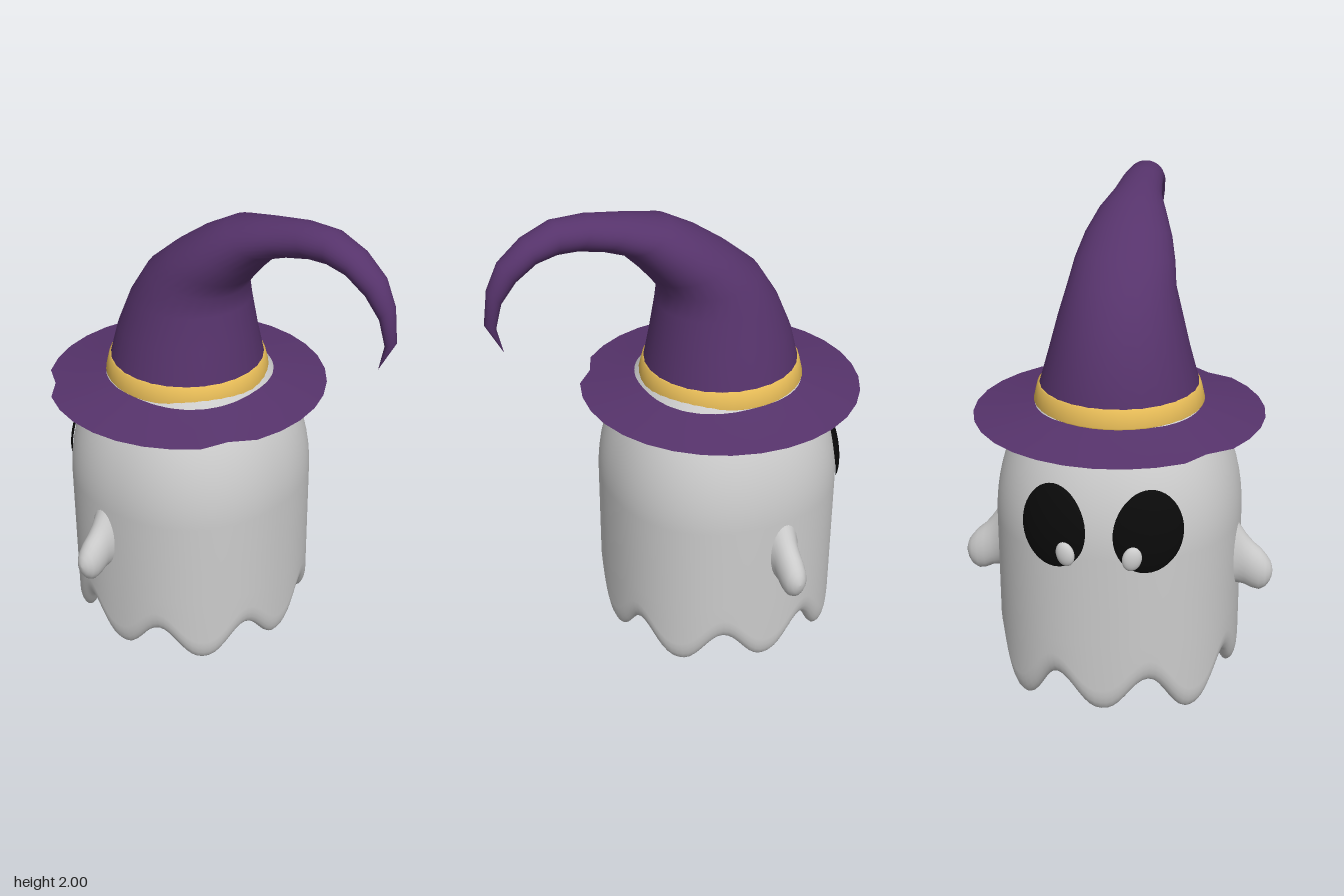
import * as THREE from 'three';

const CZ = -0.2; // z of the body axis
const V = (x, y, z) => new THREE.Vector3(x, y, z);
const mat = (color, side = THREE.FrontSide) => new THREE.MeshStandardMaterial({ color, side });

// Skin a list of sections; ring(section, angle) gives each point
function loft(sections, segs, ring) {
  const pos = [], idx = [];
  sections.forEach((s, i) => {
    for (let j = 0; j < segs; j++) {
      pos.push(...ring(s, (j / segs) * Math.PI * 2).toArray());
      if (i === sections.length - 1) continue;
      const a = i * segs + j, b = i * segs + (j + 1) % segs;
      idx.push(a, b, b + segs, a, b + segs, a + segs);
    }
  });
  const g = new THREE.BufferGeometry();
  g.setAttribute('position', new THREE.Float32BufferAttribute(pos, 3));
  g.setIndex(idx);
  g.computeVertexNormals();
  return g;
}

// Slightly squared circle
function around(a, r, y) {
  const c = Math.cos(a), s = Math.sin(a), p = 2.2;
  const k = r * (Math.abs(c) ** p + Math.abs(s) ** p) ** (-1 / p);
  return V(k * c, y, CZ - k * s);
}
const DOME_Y = 0.72, DOME_H = 0.65, R = 0.5;
const bodyRadius = y => (y < DOME_Y ? R : R * Math.sqrt(Math.max(0, 1 - ((y - DOME_Y) / DOME_H) ** 2)));

// Scalloped hem height: eight lobes, the two facing diagonals a little lower
function hem(a) {
  const wave = ((1 - Math.cos(8 * a)) / 2) ** 1.2;
  const low = [45, 135].some(d => Math.abs(a * 180 / Math.PI - d) < 22.5) ? 0.03 : 0;
  return 0.03 + 0.14 * wave - low * (1 - wave);
}

function bodyGeometry() {
  const rows = [], N = 14;
  // inside: dome and wall down to the lip
  for (let i = 0; i <= N; i++) {
    const t = (1 - i / N) * Math.PI / 2;
    rows.push({ r: 0.42 * Math.cos(t) + 1e-4, y: DOME_Y + 0.57 * Math.sin(t) });
  }
  rows.push({ r: 0.42, y: 0.5 }, { r: 0.42, y: 0.34 });
  // rounded lip following the hem
  for (let i = 0; i <= 10; i++) {
    const t = Math.PI * (1 + i / 10);
    rows.push({ r: 0.46 + 0.04 * Math.cos(t), lift: 0.1 + 0.1 * Math.sin(t) });
  }
  // outside wall and dome
  rows.push({ r: R, y: 0.34 }, { r: R, y: 0.5 });
  for (let i = 0; i <= 20; i++) {
    const t = (i / 20) * Math.PI / 2;
    rows.push({ r: R * Math.cos(t) + 1e-4, y: DOME_Y + DOME_H * Math.sin(t) });
  }
  return loft(rows, 128, (s, a) => around(a, s.r, s.y ?? hem(a) + s.lift));
}

// Stubby arm: [x, lowest y, highest y, half depth]
function armGeometry() {
  const rows = [[0.45, 0.42, 0.76, 0.09], [0.48, 0.43, 0.73, 0.075], [0.5, 0.435, 0.7, 0.062],
    [0.53, 0.43, 0.655, 0.056], [0.56, 0.416, 0.62, 0.056], [0.59, 0.41, 0.595, 0.053],
    [0.615, 0.425, 0.565, 0.045], [0.632, 0.45, 0.54, 0.03], [0.64, 0.475, 0.515, 0.014], [0.642, 0.495, 0.495, 0]];
  return loft(rows, 24, ([x, lo, hi, d], a) =>
    V(x, (lo + hi) / 2 + Math.cos(a) * (hi - lo) / 2, Math.sin(a) * d));
}

// Eye: oval patch wrapped on the body, bulging slightly
function eyeGeometry(side) {
  const tilt = 0.22, rows = [];
  for (let i = 0; i <= 10; i++) rows.push(Math.cos(i / 10 * Math.PI / 2));
  return loft(rows, 40, (s, a) => {
    const eu = 0.138 * s * Math.cos(a), ev = 0.165 * s * Math.sin(-side * a);
    const u = eu * Math.cos(tilt) + ev * Math.sin(tilt);
    const y = 0.835 + ev * Math.cos(tilt) - eu * Math.sin(tilt);
    const ang = Math.PI / 2 - side * (0.385 + u / R);
    return around(ang, bodyRadius(y) + 0.003 + 0.02 * Math.sqrt(Math.max(0, 1 - s * s)), y);
  });
}

// Curled hat cone: [front z, front y, back z, back y, half width]
function hatGeometry() {
  const rows = [[0.12, 1.2, -0.54, 1.2, 0.33], [0.11, 1.27, -0.53, 1.27, 0.32],
    [0.085, 1.42, -0.5, 1.4, 0.28], [0.065, 1.55, -0.44, 1.54, 0.245],
    [0.057, 1.62, -0.35, 1.68, 0.215], [0.1, 1.68, -0.23, 1.78, 0.2],
    [0.15, 1.74, -0.1, 1.87, 0.175], [0.23, 1.82, 0.03, 1.94, 0.135],
    [0.32, 1.85, 0.2, 1.975, 0.1], [0.42, 1.87, 0.36, 2.0, 0.085],
    [0.5, 1.87, 0.5, 2.0, 0.076], [0.58, 1.85, 0.62, 1.95, 0.068],
    [0.66, 1.79, 0.72, 1.87, 0.055], [0.72, 1.71, 0.77, 1.77, 0.038],
    [0.745, 1.61, 0.79, 1.63, 0.022], [0.72, 1.5, 0.72, 1.5, 0]];
  return loft(rows, 28, ([fz, fy, bz, by, w], a) => {
    const s = Math.sin(a);
    return V(w * Math.cos(a), (fy + by) / 2 + s * (by - fy) / 2, (fz + bz) / 2 + s * (bz - fz) / 2);
  });
}

// Brim: shallow cone with two small nicks in its edge
function brimGeometry() {
  const rows = [[0.585, 1.15], [0.46, 1.172], [0.335, 1.2]];
  return loft(rows, 32, ([r, y], a) => {
    const deg = a * 180 / Math.PI;
    const nick = r > 0.5 && [135, 240].some(d => Math.abs(deg - d) < 6) ? 0.03 : 0;
    return V((r - nick) * Math.cos(a), y, -0.21 - (r - nick) * Math.sin(a));
  });
}

export function createModel() {
  const model = new THREE.Group();
  const add = (name, geo, material, parent = model) => {
    const m = new THREE.Mesh(geo, material);
    m.name = name;
    parent.add(m);
    return m;
  };
  const grey = mat(0xcccccc), black = mat(0x0a0a0a);
  const purple = mat(0x56336b, THREE.DoubleSide), gold = mat(0xe8bd58, THREE.DoubleSide);

  add('body', bodyGeometry(), grey);

  // Arms, eyes and pupils on both sides
  for (const side of [1, -1]) {
    const label = side > 0 ? 'left' : 'right';
    const arm = add(label + 'Arm', armGeometry(), grey);
    arm.position.z = -0.265;
    if (side < 0) arm.rotation.y = Math.PI;

    add(label + 'Eye', eyeGeometry(side), black);
    const pupil = add(label + 'Pupil', new THREE.SphereGeometry(1, 24, 16), grey);
    pupil.scale.set(0.038, 0.05, 0.022);
    pupil.position.copy(around(Math.PI / 2 - side * 0.25, R + 0.018, 0.742));
    pupil.rotation.set(0, -side * 0.25, -side * 0.2);
  }

  // Hat
  const hat = new THREE.Group();
  hat.name = 'hat';
  model.add(hat);
  add('hatCone', hatGeometry(), purple, hat);
  add('hatBrim', brimGeometry(), purple, hat);
  const band = add('hatBand', new THREE.LatheGeometry(
    [[0.335, 1.195], [0.342, 1.205], [0.334, 1.24], [0.326, 1.272], [0.315, 1.276]]
      .map(([r, y]) => new THREE.Vector2(r, y)), 40), gold, hat);
  band.position.z = -0.21;
  return model;
}
